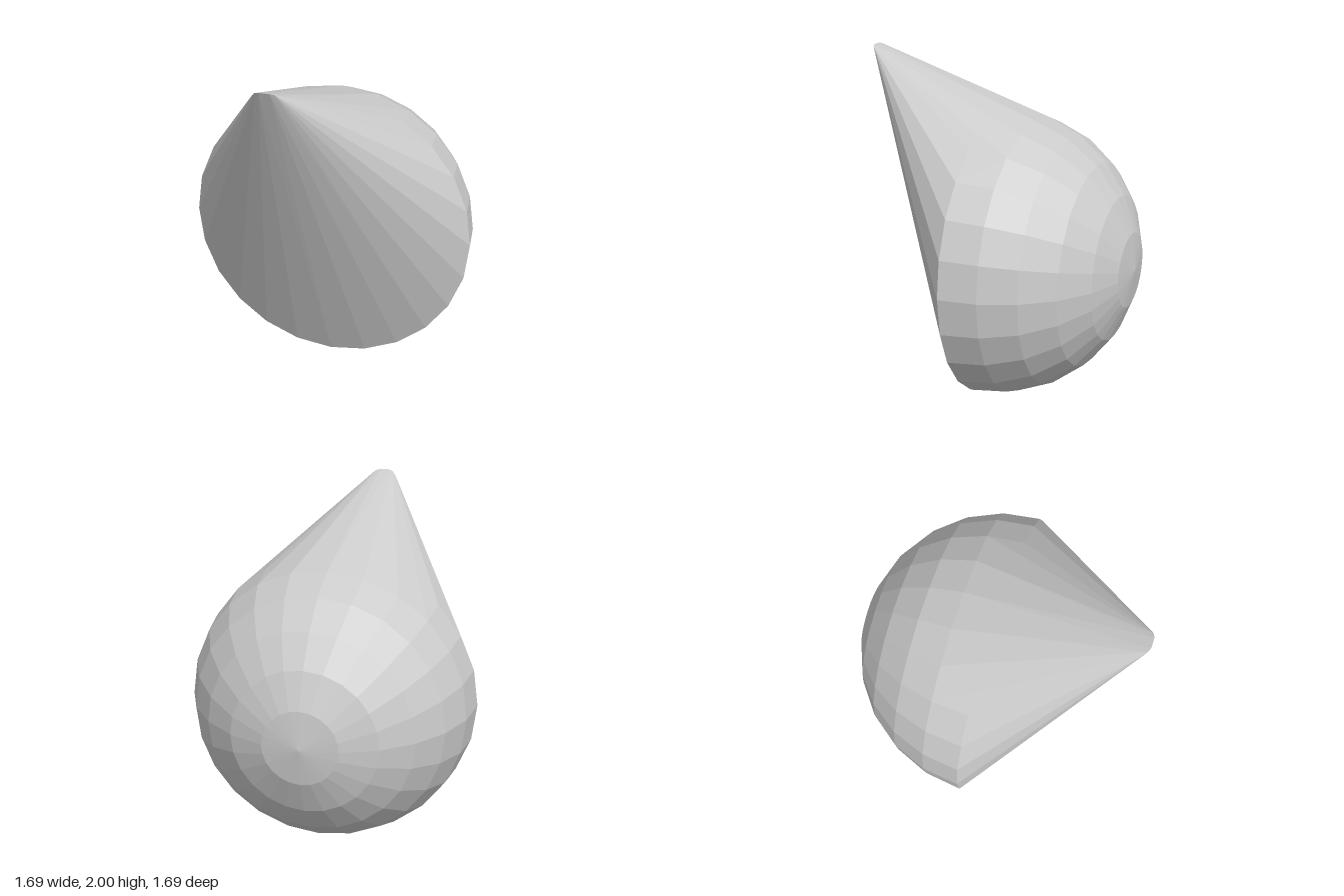
import * as THREE from 'three';
import { ConvexGeometry } from 'three/addons/geometries/ConvexGeometry.js';

const RADIUS = 0.846;
const SEGMENTS = 24;
const RINGS = 6;

// Rear dome: rings from the flat rim at z = 0 back to a pole on -z
function domePoints() {
  const points = [new THREE.Vector3(0, RADIUS, -RADIUS)];
  for (let i = 0; i < RINGS; i++) {
    const lat = (i / RINGS) * Math.PI / 2;
    const r = RADIUS * Math.cos(lat);
    for (let j = 0; j < SEGMENTS; j++) {
      const a = (j / SEGMENTS) * Math.PI * 2;
      points.push(new THREE.Vector3(
        r * Math.cos(a),
        RADIUS + r * Math.sin(a),
        -RADIUS * Math.sin(lat)
      ));
    }
  }
  return points;
}

// Small rounded beak tip, slightly off the centre line
function tipPoints() {
  const points = [];
  for (const side of [-1, 1]) {
    for (const [dx, y, z] of [[0.03, 2, 0.846], [0.055, 1.992, 0.835], [0.077, 1.97, 0.81]]) {
      points.push(new THREE.Vector3(-0.093 + side * dx, y, z));
    }
  }
  return points;
}

export function createModel() {
  const group = new THREE.Group();
  group.name = 'pointedDome';

  // One taut skin stretched over the dome and the tip
  const geometry = new ConvexGeometry([...domePoints(), ...tipPoints()]);
  const material = new THREE.MeshStandardMaterial({ color: 0xcccccc, flatShading: true });
  const shell = new THREE.Mesh(geometry, material);
  shell.name = 'shell';
  group.add(shell);
  return group;
}
